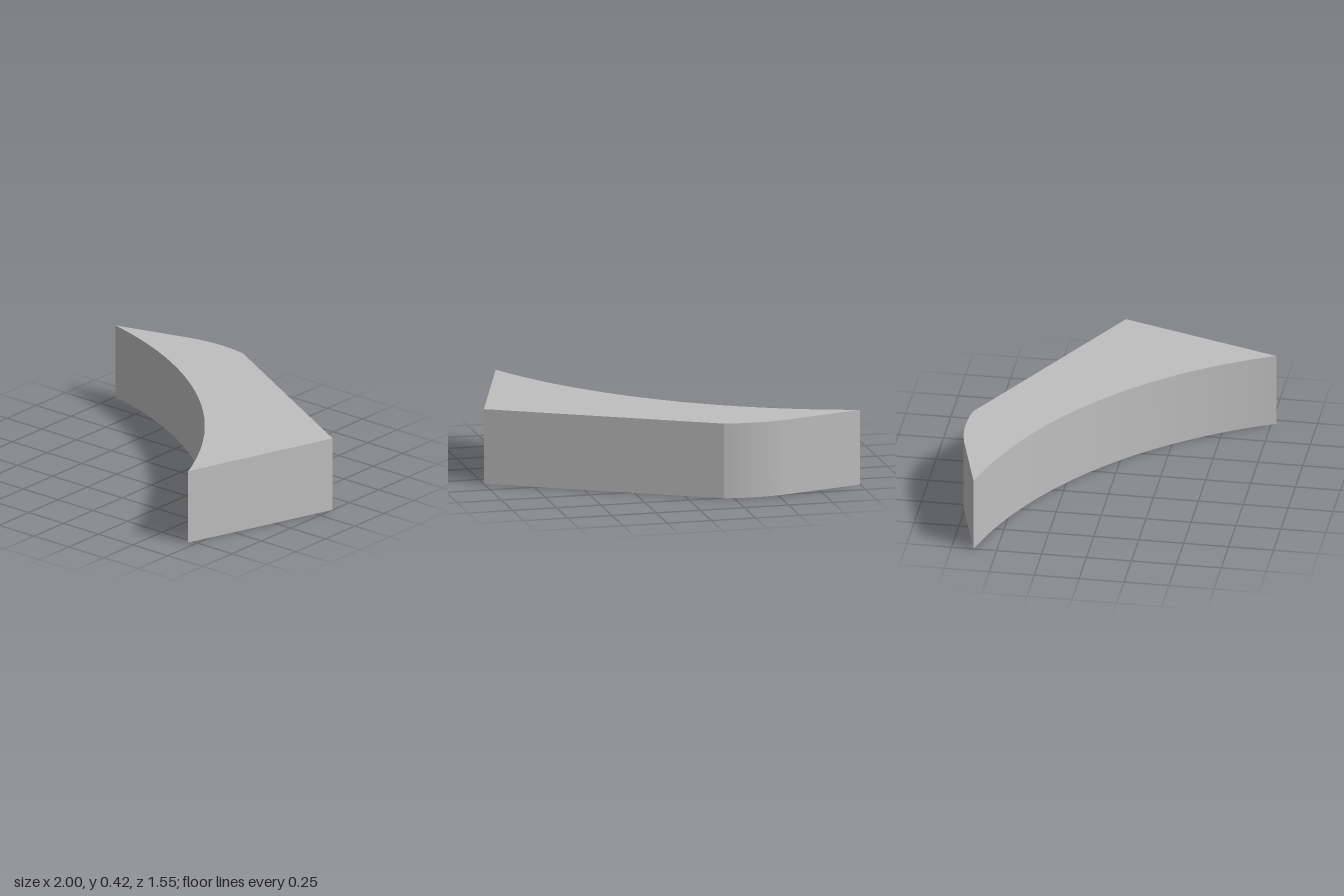
import * as THREE from 'three';
import { toCreasedNormals } from 'three/addons/utils/BufferGeometryUtils.js';

const HEIGHT = 0.422;

// Adds an arc about centre (cx, cy) running from one point to another
function arcBetween(shape, cx, cy, from, to, clockwise) {
  const radius = Math.hypot(from[0] - cx, from[1] - cy);
  const angle = ([x, y]) => Math.atan2(y - cy, x - cx);
  shape.absarc(cx, cy, radius, angle(from), angle(to), clockwise);
}

export function createModel() {
  const group = new THREE.Group();
  group.name = 'curvedBlock';
  const grey = new THREE.MeshStandardMaterial({ color: 0xbfbfbf });
  grey.name = 'grey';

  // Plan outline, drawn with the back of the model towards +y
  const leftTip = [-1, 0.628];
  const frontTip = [0.71, -0.777];
  const outline = new THREE.Shape();
  outline.moveTo(...leftTip);
  arcBetween(outline, -1.602, -1.846, leftTip, frontTip, true); // concave front
  outline.lineTo(1, 0.107);                                     // slanted end
  outline.lineTo(-0.194, 0.76);                                 // straight back
  arcBetween(outline, -0.36, -0.033, [-0.194, 0.76], [-0.569, 0.749], false); // rounded back
  outline.closePath();

  // Raise the outline into a prism standing on the ground
  const prism = new THREE.ExtrudeGeometry(outline, {
    depth: HEIGHT, bevelEnabled: false, curveSegments: 32,
  });
  prism.rotateX(-Math.PI / 2);

  const block = new THREE.Mesh(toCreasedNormals(prism, 0.12), grey);
  block.name = 'block';
  group.add(block);
  return group;
}
